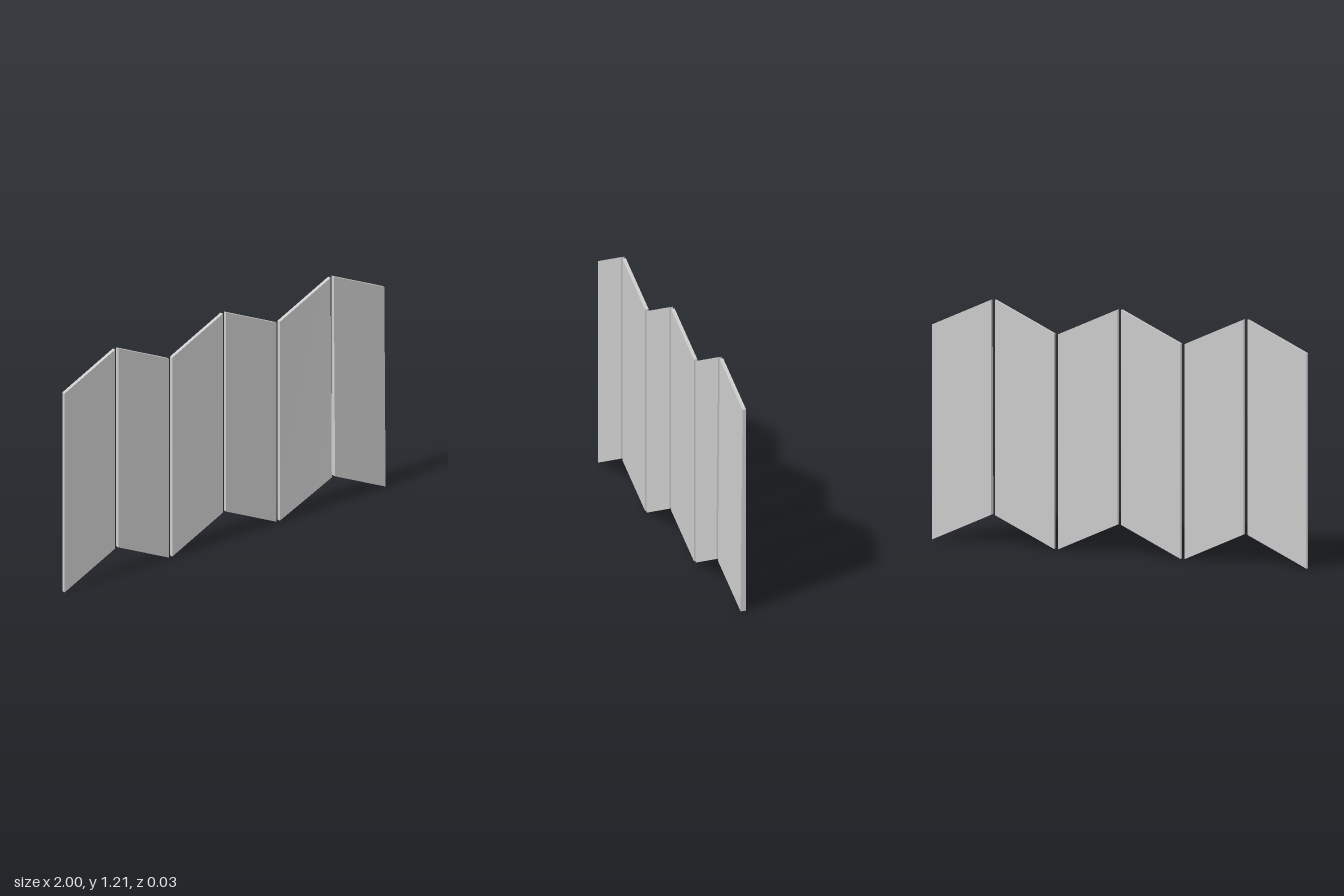
import * as THREE from 'three';

const COUNT = 6, WIDTH = 0.316, HEIGHT = 1.065, RISE = 0.145;
const PITCH = (2 - WIDTH) / (COUNT - 1);
const BACK = -0.014, FRONT = 0.004, FLARED = 0.014;

// One slanted slab: a box sheared in y, its lower front corners optionally flared forward.
function makePanel(risesRight, flareLeft, flareRight) {
  const geometry = new THREE.BoxGeometry(WIDTH, HEIGHT, 1);
  const p = geometry.attributes.position;
  for (let i = 0; i < p.count; i++) {
    const right = p.getX(i) > 0, low = p.getY(i) < 0, front = p.getZ(i) > 0;
    const lift = right === risesRight ? RISE : 0;
    const flare = low && (right ? flareRight : flareLeft);
    p.setY(i, p.getY(i) + HEIGHT / 2 + lift);
    p.setZ(i, front ? (flare ? FLARED : FRONT) : BACK);
  }
  geometry.computeVertexNormals();
  return geometry;
}

export function createModel() {
  const group = new THREE.Group();
  group.name = 'foldedScreen';
  const material = new THREE.MeshStandardMaterial({ color: 0xcccccc });

  // Row of panels, alternately rising and falling like a zigzag fold
  for (let i = 0; i < COUNT; i++) {
    const last = i === COUNT - 1;
    const panel = new THREE.Mesh(makePanel(i % 2 === 0, last, i >= COUNT - 2), material);
    panel.name = `panel${i + 1}`;
    panel.position.x = -1 + WIDTH / 2 + i * PITCH;
    group.add(panel);
  }
  return group;
}
